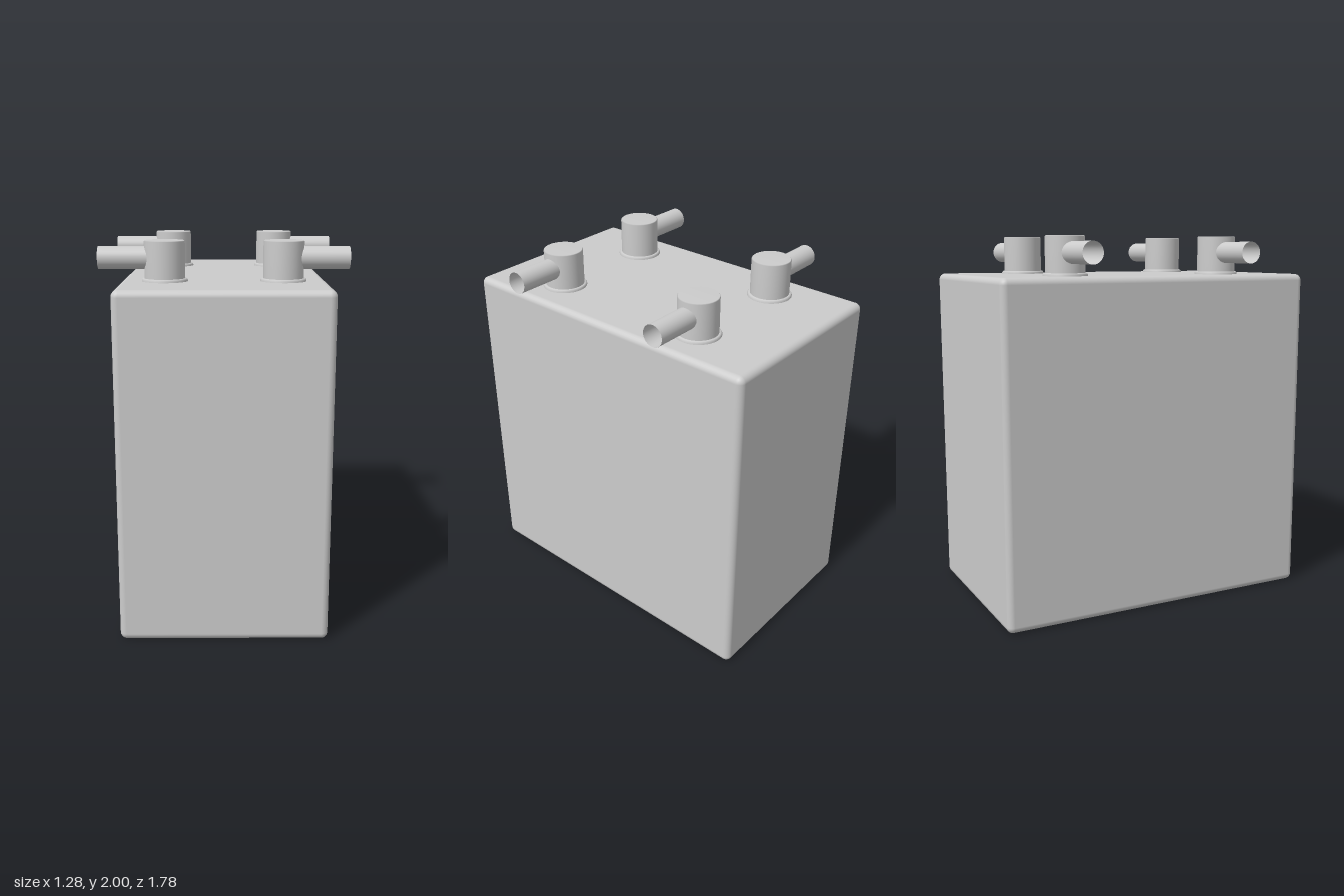
import * as THREE from 'three';
import { RoundedBoxGeometry } from 'three/addons/geometries/RoundedBoxGeometry.js';

export function createModel() {
  const model = new THREE.Group();
  const grey = new THREE.MeshStandardMaterial({ color: 0xcccccc });
  const thin = new THREE.MeshStandardMaterial({ color: 0xcccccc, side: THREE.DoubleSide });

  const add = (parent, name, geometry, material, x, y, z) => {
    const mesh = new THREE.Mesh(geometry, material);
    mesh.name = name;
    mesh.position.set(x, y, z);
    parent.add(mesh);
    return mesh;
  };

  // Main block with softened edges
  const height = 1.795;
  add(model, 'body', new RoundedBoxGeometry(1.07, height, 1.785, 3, 0.035), grey, 0, height / 2, 0);

  // Shared port shapes: post with a tiny top bevel, low collar, open side pipe
  const lathe = (points) =>
    new THREE.LatheGeometry(points.map(([r, y]) => new THREE.Vector2(r, y)), 32);
  const postGeometry = lathe([[0.104, 0], [0.104, 0.211], [0.1, 0.215], [0, 0.215]]);
  const collarGeometry = lathe([[0.118, 0], [0.118, 0.017], [0.112, 0.025], [0.1, 0.025]]);
  const pipeGeometry = new THREE.CylinderGeometry(0.057, 0.057, 0.27, 32, 1, true);
  pipeGeometry.rotateZ(Math.PI / 2);

  // Four ports, pipes pointing outwards to the sides
  for (const side of [-1, 1]) {
    for (const end of [-1, 1]) {
      const port = new THREE.Group();
      port.name = `${end > 0 ? 'front' : 'back'}${side > 0 ? 'Left' : 'Right'}Port`;
      port.position.set(side * 0.303, 1.785, end * 0.46);
      add(port, 'post', postGeometry, grey, 0, 0, 0);
      add(port, 'collar', collarGeometry, grey, 0, 0, 0);
      add(port, 'pipe', pipeGeometry, thin, side * 0.202, 0.128, 0);
      model.add(port);
    }
  }

  return model;
}
